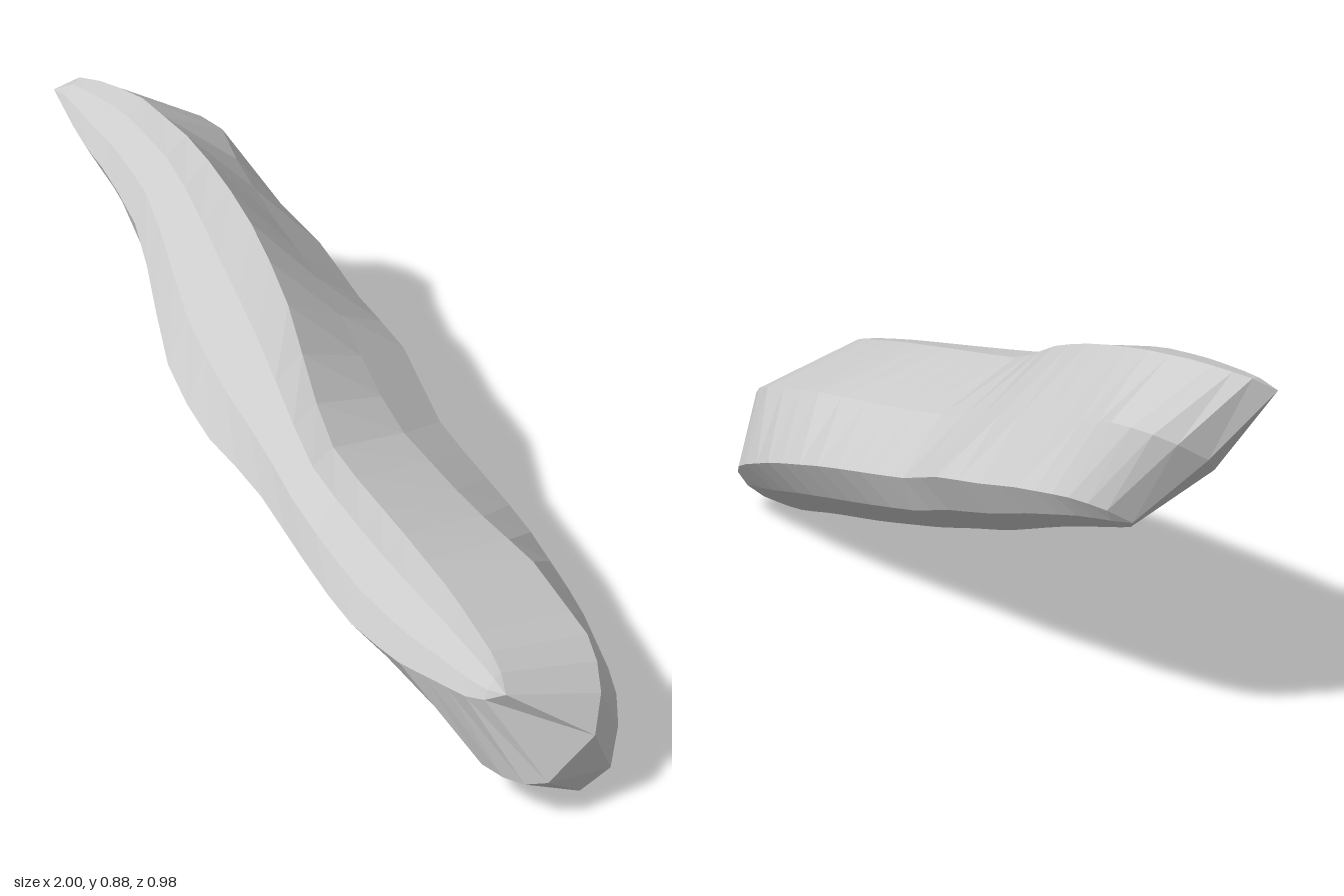
import * as THREE from 'three';

// Body frame: x along the length, U across the slab, N through its thickness
const U = new THREE.Vector3(0, 0.593, -0.805);
const N = new THREE.Vector3(0, 0.805, 0.593);

// Edge curves as [x, u] points: the two sides of the top, middle and bottom outlines
const topLow = [[-1, .67], [-.87, .59], [-.75, .54], [-.6, .45], [-.5, .34], [-.35, .19], [-.2, .1],
  [0, .035], [.2, -.065], [.38, -.15], [.55, -.19], [.8, -.195], [.86, -.15]];
const topHigh = [[-1, .67], [-.95, .73], [-.8, .745], [-.6, .7], [-.4, .61], [-.2, .48], [0, .3],
  [.1, .21], [.2, .165], [.4, .09], [.6, .01], [.8, -.09], [.86, -.15]];
const midLow = [[-.9, .68], [-.87, .6], [-.62, .44], [-.49, .3], [-.33, .19], [-.1, .09], [.2, -.04],
  [.4, -.125], [.65, -.22], [.8, -.297], [.95, -.28], [1, -.11]];
const midHigh = [[-.9, .68], [-.84, .78], [-.7, .806], [-.6, .74], [-.47, .67], [-.2, .55], [0, .42],
  [.12, .345], [.4, .25], [.62, .195], [.87, .085], [.95, 0], [1, -.11]];
const lowLow = [[-.75, .66], [-.72, .615], [-.5, .51], [-.2, .31], [0, .21], [.2, .11], [.4, 0],
  [.6, -.09], [.7, -.16], [.8, -.22], [.94, -.21], [.97, -.13]];
const lowHigh = [[-.75, .66], [-.7, .73], [-.6, .74], [-.4, .68], [-.25, .61], [-.08, .55], [.12, .42],
  [.44, .3], [.68, .18], [.87, .05], [.95, -.06], [.97, -.13]];

// Point on an edge curve at fraction t of its own x range
function sample(curve, t, n) {
  const x = THREE.MathUtils.lerp(curve[0][0], curve[curve.length - 1][0], t);
  let k = 0;
  while (k < curve.length - 2 && curve[k + 1][0] < x) k++;
  const [x0, u0] = curve[k], [x1, u1] = curve[k + 1];
  const u = u0 + (u1 - u0) * (x - x0) / (x1 - x0);
  return new THREE.Vector3(x, 0, 0).addScaledVector(U, u).addScaledVector(N, n);
}

// Ten-point cross-section with gently domed top and bottom
function section(t) {
  const bulge = Math.sqrt(Math.max(0, Math.sin(Math.PI * t)));
  const tl = sample(topLow, t, .56), th = sample(topHigh, t, .56);
  const ll = sample(lowLow, t, .168), lh = sample(lowHigh, t, .168);
  const dome = (a, b, f, height) => a.clone().lerp(b, f).addScaledVector(N, height * bulge);
  return [
    tl, dome(tl, th, .3, .042), dome(tl, th, .7, .042), th,
    sample(midHigh, t, .355),
    lh, dome(lh, ll, .3, -.05), dome(lh, ll, .7, -.05), ll,
    sample(midLow, t, .355),
  ];
}

export function createModel() {
  const steps = 24;
  // Stations are closer together towards the rounded ends
  const rings = Array.from({ length: steps + 1 }, (_, i) => {
    const s = i / steps;
    return section(.5 * s + .5 * (.5 - .5 * Math.cos(Math.PI * s)));
  });

  const positions = [];
  const addTriangle = (a, b, c) => {
    if (new THREE.Triangle(a, b, c).getArea() < 1e-7) return;
    for (const p of [a, b, c]) positions.push(p.x, p.y, p.z);
  };
  const sides = rings[0].length;
  for (let i = 0; i < steps; i++) {
    for (let j = 0; j < sides; j++) {
      const k = (j + 1) % sides;
      const a = rings[i][j], b = rings[i + 1][j], c = rings[i + 1][k], d = rings[i][k];
      addTriangle(a, b, d);
      addTriangle(b, c, d);
    }
  }

  const geometry = new THREE.BufferGeometry();
  geometry.setAttribute('position', new THREE.Float32BufferAttribute(positions, 3));
  geometry.computeVertexNormals();

  const body = new THREE.Mesh(geometry, new THREE.MeshStandardMaterial({ color: 0xcccccc, flatShading: true }));
  body.name = 'curvedBody';
  const group = new THREE.Group();
  group.name = 'curvedSlab';
  group.add(body);
  return group;
}
